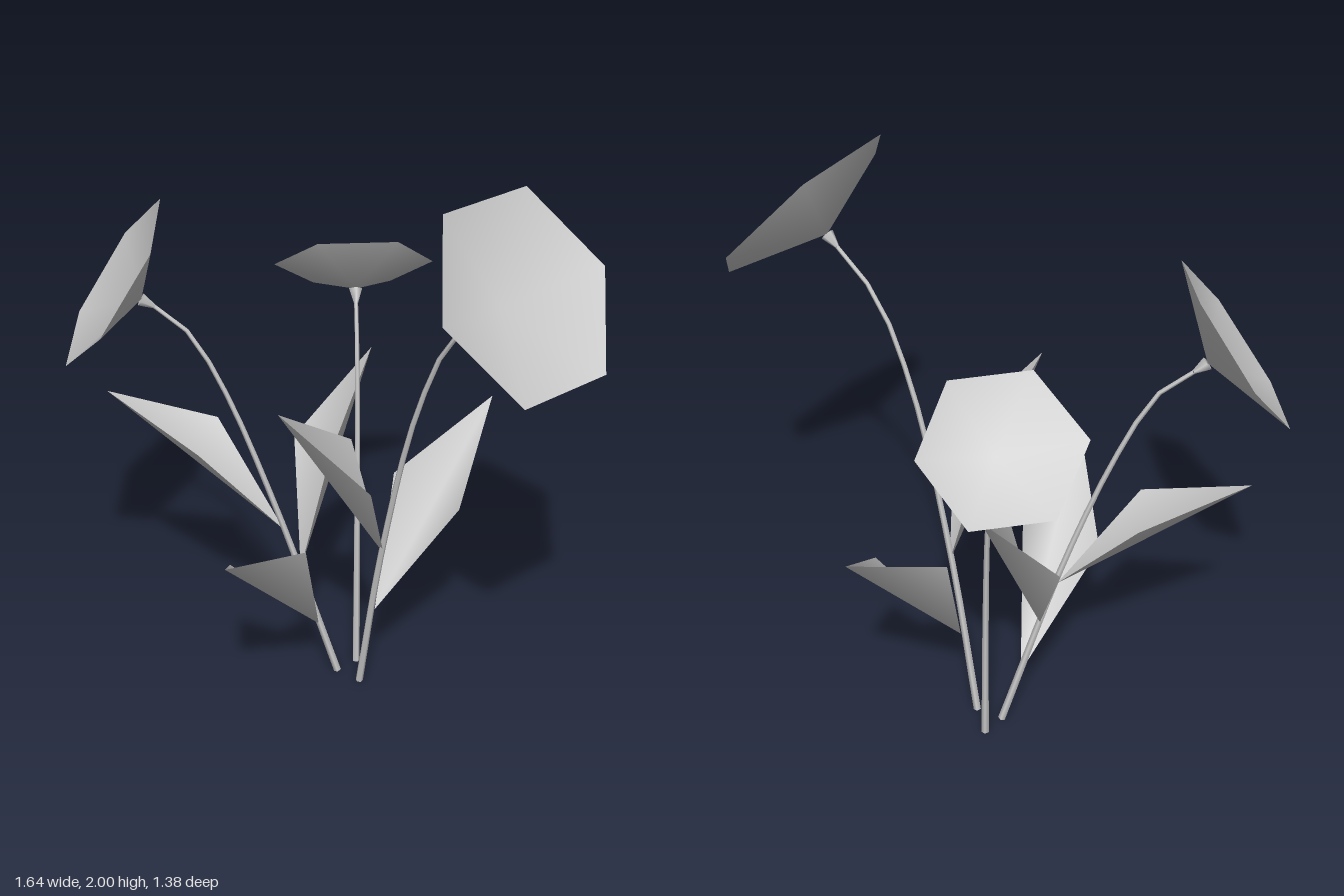
import * as THREE from 'three';

const V = (p) => new THREE.Vector3(...p);
const solid = new THREE.MeshStandardMaterial({ color: 0xcccccc });
const thin = new THREE.MeshStandardMaterial({ color: 0xcccccc, side: THREE.DoubleSide });

// Thin surface from a few points and triangles, with smooth normals
function surface(name, points, index) {
  const geo = new THREE.BufferGeometry().setFromPoints(points);
  geo.setIndex(index);
  geo.computeVertexNormals();
  const mesh = new THREE.Mesh(geo, thin);
  mesh.name = name;
  return mesh;
}

// Leaf: two triangles folded along the midrib from base to tip
function leaf([base, left, tip, right]) {
  return surface('leaf', [base, left, tip, right].map(V), [0, 1, 2, 0, 2, 3]);
}

// Tapering stem swept along a curve
function stem(points) {
  const curve = new THREE.CatmullRomCurve3(points);
  const segments = 12, sides = 5;
  const geo = new THREE.TubeGeometry(curve, segments, 0.013, sides);
  const pos = geo.attributes.position, v = new THREE.Vector3();
  for (let i = 0; i < pos.count; i++) {
    const u = Math.floor(i / (sides + 1)) / segments;
    const centre = curve.getPointAt(u);
    v.fromBufferAttribute(pos, i).sub(centre).multiplyScalar(1 - 0.45 * u).add(centre);
    pos.setXYZ(i, v.x, v.y, v.z);
  }
  const mesh = new THREE.Mesh(geo, solid);
  mesh.name = 'stem';
  return mesh;
}

// Flower: shallow six-sided bowl, small flared cup below it, and its stem
function flower({ rim, path }) {
  const group = new THREE.Group();
  group.name = 'flower';
  const ring = rim.map(V);
  const centre = ring.reduce((s, p) => s.add(p), new THREE.Vector3()).divideScalar(6);
  const axis = ring[0].clone().sub(ring[3]).cross(ring[1].clone().sub(ring[4])).normalize();
  if (axis.y < 0) axis.negate();
  const radius = ring[0].distanceTo(ring[3]) / 2;
  const apex = centre.clone().addScaledVector(axis, -0.34 * radius);

  const index = [];
  for (let i = 0; i < 6; i++) index.push(6, i, (i + 1) % 6);
  group.add(surface('blossom', [...ring, apex], index));

  const cupLength = 0.05;
  const cup = new THREE.Mesh(new THREE.CylinderGeometry(0.023, 0.007, cupLength, 5), solid);
  cup.name = 'cup';
  cup.position.copy(apex).addScaledVector(axis, -cupLength / 2);
  cup.quaternion.setFromUnitVectors(new THREE.Vector3(0, 1, 0), axis);
  group.add(cup);

  const end = apex.clone().addScaledVector(axis, -cupLength);
  group.add(stem([...path.map(V), end]));
  return group;
}

const flowers = [
  { // front flower
    rim: [[0.3, 2, 0.36], [0.577, 1.98, 0.15], [0.818, 1.73, 0.2],
      [0.784, 1.51, 0.47], [0.507, 1.53, 0.685], [0.27, 1.78, 0.632]],
    path: [[0.12, 0, -0.1], [0.18, 0.6, 0], [0.27, 1.2, 0.125], [0.36, 1.51, 0.22]],
  },
  { // side flower
    rim: [[-0.498, 1.73, -0.385], [-0.537, 1.69, -0.077], [-0.704, 1.455, 0.025],
      [-0.822, 1.255, -0.173], [-0.778, 1.29, -0.475], [-0.616, 1.52, -0.578]],
    path: [[0.05, 0, -0.165], [-0.165, 0.7, -0.19], [-0.32, 1.12, -0.225], [-0.43, 1.325, -0.245]],
  },
  { // back flower
    rim: [[0, 1.56, -0.36], [0.26, 1.56, -0.352], [0.395, 1.405, -0.51],
      [0.275, 1.25, -0.68], [0.012, 1.25, -0.69], [-0.13, 1.405, -0.533]],
    path: [[0.12, 0, -0.215], [0.123, 0.6, -0.25], [0.127, 0.95, -0.3], [0.13, 1.23, -0.375]],
  },
];

// Each leaf: base, side corner, tip, other side corner
const leaves = [
  [[-0.13, 0.58, -0.19], [-0.335, 0.91, -0.395], [-0.7, 1.03, -0.395], [-0.41, 0.9, -0.17]],
  [[0.167, 0.32, -0.067], [0.445, 0.705, -0.07], [0.594, 0.95, -0.388], [0.245, 0.757, -0.235]],
  [[-0.015, 0.2, -0.168], [-0.32, 0.56, -0.025], [-0.35, 0.795, 0.345], [-0.075, 0.645, 0.05]],
  [[0.187, 0.59, -0.005], [0.08, 1.022, -0.03], [-0.168, 1.245, 0.173], [0.12, 0.955, 0.205]],
  [[-0.075, 0.42, -0.185], [0.03, 0.87, -0.2], [0.19, 1.11, -0.474], [-0.076, 0.805, -0.425]],
];

export function createModel() {
  const model = new THREE.Group();
  model.name = 'flowerBunch';
  flowers.forEach((f) => model.add(flower(f)));
  leaves.forEach((l) => model.add(leaf(l)));
  return model;
}
